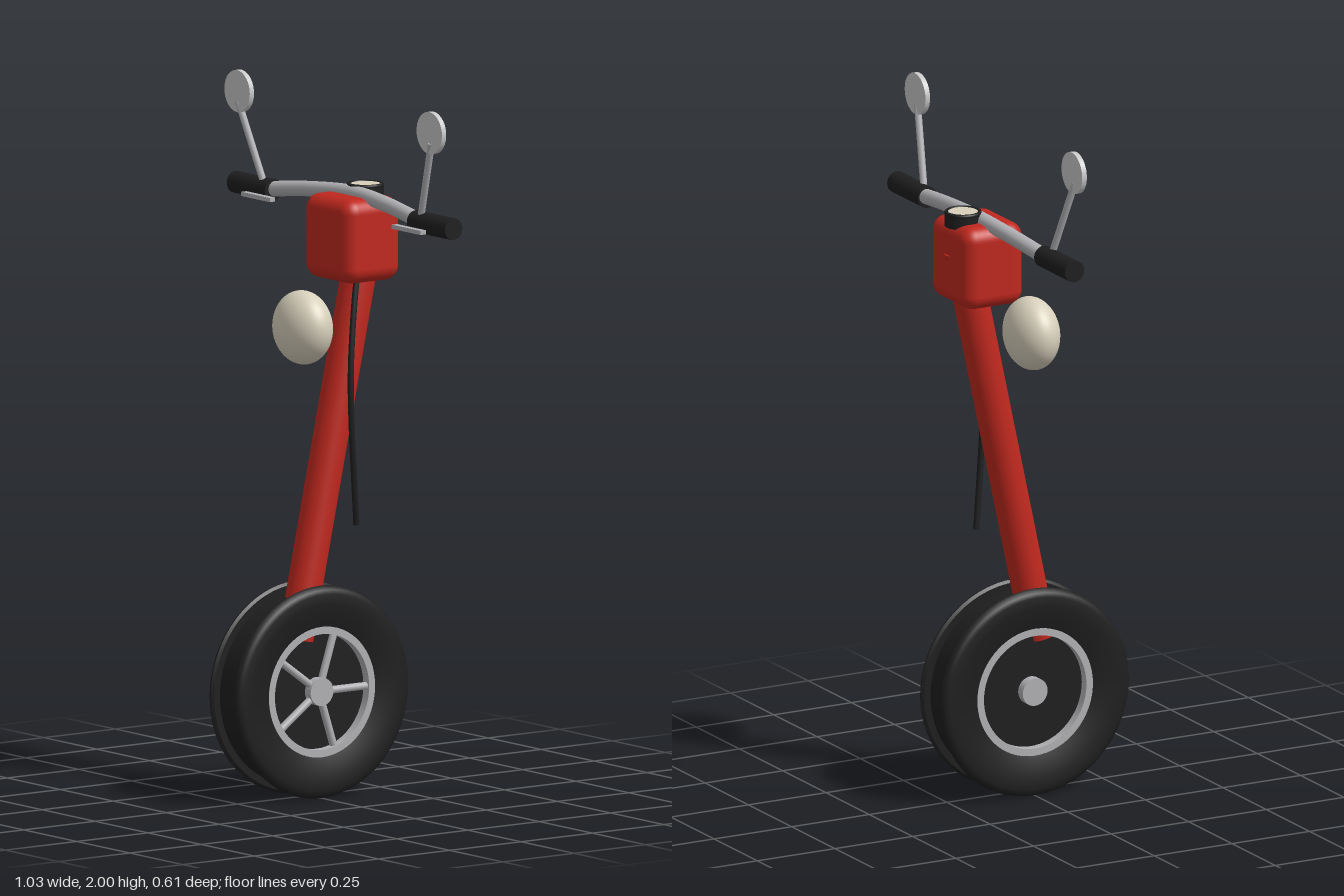
import * as THREE from 'three';
import { toCreasedNormals } from 'three/addons/utils/BufferGeometryUtils.js';
import { RoundedBoxGeometry } from 'three/addons/geometries/RoundedBoxGeometry.js';

const material = (name, color) => {
  const m = new THREE.MeshStandardMaterial({ color });
  m.name = name;
  return m;
};
const V = (x, y, z) => new THREE.Vector3(x, y, z);

export function createModel() {
  const red = material('red paint', 0xc0281e);
  const black = material('black rubber', 0x1e1e1e);
  const metal = material('grey metal', 0xb0b0b4);
  const mirror = material('mirror glass', 0xc8c8c8);
  const cream = material('cream lens', 0xd8d0bc);

  const model = new THREE.Group();
  model.name = 'frontEnd';

  const add = (name, geometry, mat, parent = model) => {
    const mesh = new THREE.Mesh(geometry, mat);
    mesh.name = name;
    parent.add(mesh);
    return mesh;
  };
  // Cylinder running between two points
  const rod = (name, a, b, radius, mat, parent = model, sides = 24) => {
    const dir = b.clone().sub(a);
    const mesh = add(name, new THREE.CylinderGeometry(radius, radius, dir.length(), sides), mat, parent);
    mesh.position.copy(a).add(b).multiplyScalar(0.5);
    mesh.quaternion.setFromUnitVectors(V(0, 1, 0), dir.normalize());
    return mesh;
  };
  // Closed ring turned about the x axis, from [radius, x] pairs
  const ring = (name, points, mat, parent) => {
    const profile = points.map(([r, x]) => new THREE.Vector2(r, x));
    profile.push(profile[0].clone());
    const geometry = new THREE.LatheGeometry(profile, 64);
    geometry.rotateZ(-Math.PI / 2);
    return add(name, toCreasedNormals(geometry, 0.6), mat, parent);
  };

  // Wheel: tyre with a wide central groove
  const wheel = new THREE.Group();
  wheel.name = 'wheel';
  wheel.position.y = 0.303;
  model.add(wheel);
  const half = [
    [0.275, 0.05], [0.295, 0.05], [0.303, 0.056], [0.3, 0.065],
    [0.292, 0.072], [0.28, 0.075], [0.25, 0.074], [0.21, 0.068], [0.182, 0.06],
  ];
  const lower = half.map(([r, x]) => [r, -x]).reverse();
  ring('tyre', [...lower, ...half], black, wheel);
  ring('rim', [[0.165, -0.062], [0.186, -0.062], [0.186, 0.062], [0.165, 0.062]], metal, wheel);
  rod('wheelDisc', V(-0.035, 0, 0), V(0.035, 0, 0), 0.168, black, wheel, 48);
  rod('hub', V(-0.062, 0, 0), V(0.062, 0, 0), 0.04, metal, wheel, 32);
  for (let i = 0; i < 5; i++) {
    const a = (i * Math.PI * 2) / 5;
    const at = (r) => V(0.046, Math.sin(a) * r, -Math.cos(a) * r);
    rod('spoke', at(0.02), at(0.172), 0.011, metal, wheel, 12);
  }

  // Steering column and head
  rod('steeringColumn', V(0, 0.45, 0.046), V(0, 1.615, -0.205), 0.05, red, model, 32);
  const head = add('steeringHead', new RoundedBoxGeometry(0.225, 0.24, 0.195, 6, 0.042), red);
  head.position.set(0, 1.58, -0.152);

  // Headlamp
  const lamp = add('headlamp', new THREE.SphereGeometry(1, 40, 28), cream);
  lamp.scale.set(0.105, 0.105, 0.073);
  lamp.position.set(0, 1.337, 0.022);

  // Gauge on top of the head
  rod('gaugeHousing', V(0, 1.685, -0.198), V(0, 1.722, -0.198), 0.052, black, model, 40);
  rod('gaugeFace', V(0, 1.72, -0.198), V(0, 1.726, -0.198), 0.044, cream, model, 40);
  const bezel = add('gaugeBezel', new THREE.TorusGeometry(0.047, 0.006, 10, 40), black);
  bezel.rotation.x = Math.PI / 2;
  bezel.position.set(0, 1.723, -0.198);

  // Handlebar
  const bar = new THREE.CatmullRomCurve3([
    V(-0.37, 1.669, -0.126), V(-0.18, 1.692, -0.145), V(0, 1.703, -0.155),
    V(0.18, 1.692, -0.145), V(0.37, 1.669, -0.126),
  ]);
  add('handlebar', new THREE.TubeGeometry(bar, 48, 0.022, 20), metal);

  // Grips, levers and mirrors on both sides
  for (const s of [1, -1]) {
    const side = s > 0 ? 'left' : 'right';
    rod(side + 'Grip', V(s * 0.335, 1.67, -0.125), V(s * 0.514, 1.67, -0.125), 0.031, black);
    const lever = add(side + 'Lever', new THREE.BoxGeometry(0.135, 0.012, 0.019), metal);
    lever.position.set(s * 0.355, 1.652, -0.086);
    rod(side + 'MirrorStem', V(s * 0.368, 1.68, -0.118), V(s * 0.455, 1.91, -0.091), 0.01, metal, model, 12);
    rod(side + 'Mirror', V(s * 0.453, 1.94, -0.1), V(s * 0.453, 1.94, -0.085), 0.06, mirror, model, 36);
  }

  // Brake cable hanging beside the column
  const cable = new THREE.CatmullRomCurve3([
    V(0.035, 1.5, -0.145), V(0.055, 1.36, -0.115), V(0.071, 1.2, -0.094),
    V(0.074, 1.05, -0.095), V(0.068, 0.9, -0.108), V(0.06, 0.768, -0.122),
  ]);
  add('brakeCable', new THREE.TubeGeometry(cable, 40, 0.009, 10), black);
  const ends = [cable.getPoint(0.985), cable.getPoint(1)];
  rod('cableEnd', ends[0], ends[1], 0.0095, black, model, 10);

  return model;
}
